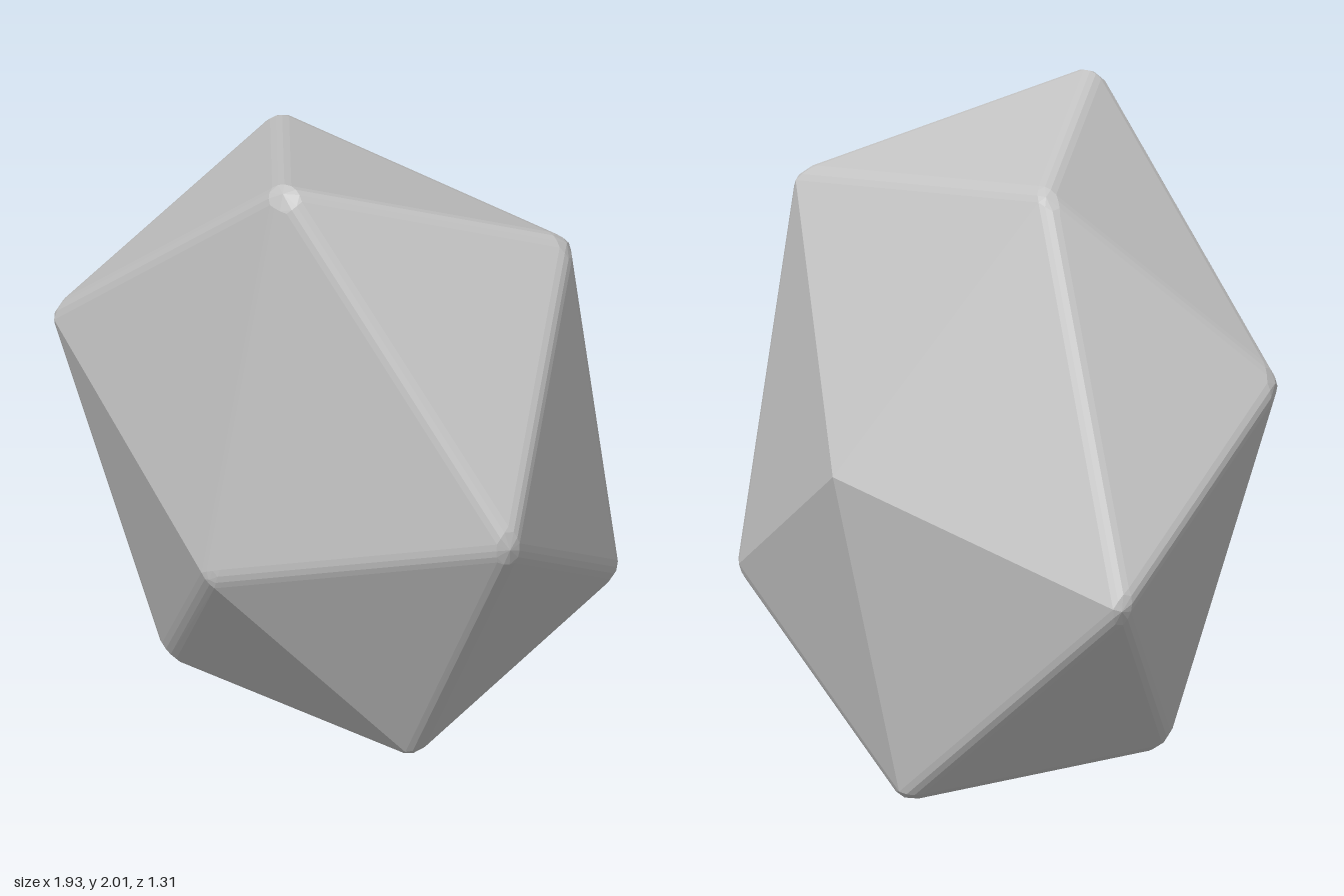
import * as THREE from 'three';
import { ConvexGeometry } from 'three/addons/geometries/ConvexGeometry.js';

const BEVEL = 0.033;          // inset of each face along a softened edge
const STEPS = 3;              // facets across a softened edge
const LIMIT = Math.cos(THREE.MathUtils.degToRad(30)); // shallower edges stay sharp

// The twelve corners of the stone, an irregular icosahedron
const corners = [
  [0.235, 2.025, 0.54], [-0.37, 1.84, -0.165], [0.715, 1.725, -0.225], [-0.785, 1.255, 0.395],
  [0.985, 0.99, 0.36], [0.05, 0.72, 0.66], [-0.985, 0.7, -0.38], [-0.515, 0.125, 0.185],
  [0.39, 0.045, 0.115], [-0.1, -0.015, -0.495], [0.715, 0.55, -0.455], [0.02, 0.98, -0.66],
].map((p) => new THREE.Vector3(...p));

// Triangles of the hull as corner indices with a normal
function hullFaces(points) {
  const pos = new ConvexGeometry(points).attributes.position;
  const faces = [];
  for (let i = 0; i < pos.count; i += 3) {
    const ids = [0, 1, 2].map((k) => {
      const p = new THREE.Vector3().fromBufferAttribute(pos, i + k);
      return points.findIndex((q) => q.distanceTo(p) < 1e-4);
    });
    const [a, b, c] = ids.map((id) => points[id]);
    faces.push({ ids, normal: new THREE.Triangle(a, b, c).getNormal(new THREE.Vector3()) });
  }
  return faces;
}

// Points of the same solid with its steeper edges rounded
function bevelledPoints(points) {
  const faces = hullFaces(points);
  const out = [];
  const facesOn = (a, b) => faces.filter((f) => f.ids.includes(a) && f.ids.includes(b));
  const isSoft = (a, b) => {
    const [f, g] = facesOn(a, b);
    return f.normal.dot(g.normal) < LIMIT;
  };
  const direction = (a, b) => points[b].clone().sub(points[a]).normalize();

  // Corner of one face at vertex v, moved in from its softened edges
  const inset = (face, v) => {
    const [a, b] = face.ids.filter((id) => id !== v);
    const da = direction(v, a), db = direction(v, b);
    const sin = Math.sin(da.angleTo(db));
    return points[v].clone()
      .addScaledVector(db, isSoft(v, a) ? BEVEL / sin : 0)
      .addScaledVector(da, isSoft(v, b) ? BEVEL / sin : 0);
  };

  for (let v = 0; v < points.length; v++) {
    // Face corners around the vertex and a rounded tip above them
    const ring = faces.filter((f) => f.ids.includes(v)).map((f) => inset(f, v));
    const tip = new THREE.Vector3();
    for (const p of ring) tip.addScaledVector(p, 1 / ring.length);
    out.push(...ring, tip.lerp(points[v], 0.42));

    // Small arcs across the end of every softened edge
    for (let w = 0; w < points.length; w++) {
      if (v === w || facesOn(v, w).length !== 2 || !isSoft(v, w)) continue;
      const [p, q] = facesOn(v, w).map((f) => inset(f, v));
      const d = direction(v, w);
      const along = p.clone().add(q).multiplyScalar(0.5).sub(points[v]).dot(d);
      const ridge = points[v].clone().addScaledVector(d, along);
      const arc = new THREE.QuadraticBezierCurve3(p, ridge, q);
      for (let s = 1; s < STEPS; s++) out.push(arc.getPoint(s / STEPS));
    }
  }
  return out;
}

export function createModel() {
  const geometry = new ConvexGeometry(bevelledPoints(corners));

  // Rest the lowest corner on the ground
  geometry.computeBoundingBox();
  geometry.translate(0, -geometry.boundingBox.min.y, 0);

  const stoneGrey = new THREE.MeshStandardMaterial({ color: 0xc4c4c4 });
  stoneGrey.name = 'stone grey';

  const stone = new THREE.Mesh(geometry, stoneGrey);
  stone.name = 'stone';
  const group = new THREE.Group();
  group.name = 'rock';
  group.add(stone);
  return group;
}
